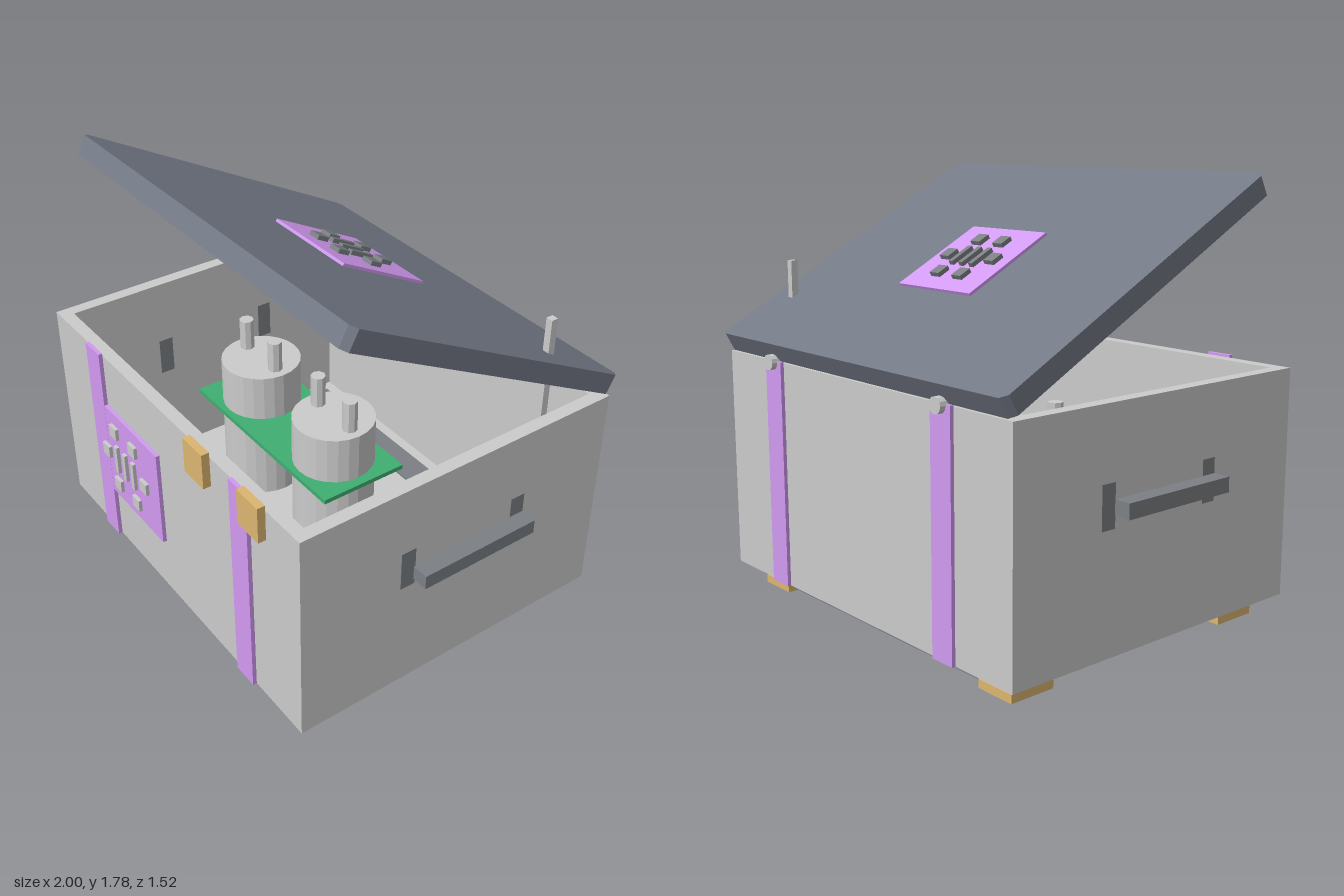
import * as THREE from 'three';

const mat = (color) => new THREE.MeshStandardMaterial({ color, flatShading: true });

export function createModel() {
  const model = new THREE.Group();
  const grey = mat(0xcccccc), dark = mat(0x7c8084), slate = mat(0x747986);
  const violet = mat(0xd29af2), gold = mat(0xdcb670), green = mat(0x3fae72);

  const add = (parent, name, geometry, material, x = 0, y = 0, z = 0) => {
    const mesh = new THREE.Mesh(geometry, material);
    mesh.name = name;
    mesh.position.set(x, y, z);
    parent.add(mesh);
    return mesh;
  };
  // box given by its limits on each axis
  const box = (parent, name, m, [x0, x1], [y0, y1], [z0, z1]) =>
    add(parent, name, new THREE.BoxGeometry(x1 - x0, y1 - y0, z1 - z0), m,
      (x0 + x1) / 2, (y0 + y1) / 2, (z0 + z1) / 2);

  // open crate body
  const Y = [0.09, 1.025], back = -0.72, front = 0.73, t = 0.055;
  box(model, 'floor', grey, [-0.9, 0.9], [0.09, 0.14], [back, front]);
  box(model, 'frontWall', grey, [-0.9, 0.9], Y, [front - t, front]);
  box(model, 'backWall', grey, [-0.9, 0.9], Y, [back, back + t]);
  for (const s of [-1, 1]) {
    const span = (a, b) => (s > 0 ? [a, b] : [-b, -a]);
    box(model, 'sideWall', grey, span(0.9 - t, 0.9), Y, [back + t, front - t]);
    // side handle and its mounting plates set through the wall
    box(model, 'handle', dark, span(0.932, 1), [0.63, 0.69], [-0.277, 0.253]);
    for (const z of [-0.277, 0.253])
      box(model, 'handleMount', dark, span(0.9 - t - 0.003, 0.902), [0.57, 0.74], [z - 0.033, z + 0.033]);
    // straps on the front and back, with a hinge pin over each back strap
    const sx = span(0.485, 0.597);
    box(model, 'frontStrap', violet, sx, [0.09, 1.035], [front, 0.747]);
    box(model, 'backStrap', violet, sx, [0.09, 1.03], [-0.735, back]);
    add(model, 'hingePin', new THREE.CylinderGeometry(0.032, 0.032, 0.1, 12).rotateX(Math.PI / 2),
      grey, s * 0.541, 1.025, -0.708);
    // skid rail with a foot at each end
    const rz = s > 0 ? 0.555 : -0.545;
    box(model, 'skid', dark, [-0.79, 0.79], [0.008, 0.15], [rz - 0.065, rz + 0.065]);
    for (const x of [-0.72, 0.72])
      box(model, 'foot', gold, [x - 0.088, x + 0.088], [0, 0.034], [rz - 0.099, rz + 0.099]);
  }
  for (const x of [0.268, 0.63])
    box(model, 'latch', gold, [x - 0.066, x + 0.066], [0.893, 1.047], [front, 0.763]);

  // plate with raised blocks, facing +z and centred on its own origin
  const plate = (w, h, depth, k, studMat, studDepth) => {
    const g = new THREE.Group();
    g.name = 'studdedPlate';
    box(g, 'plate', violet, [-w / 2, w / 2], [-h / 2, h / 2], [0, depth]);
    const stud = (x, y, sw, sh) =>
      box(g, 'stud', studMat, [x - sw / 2, x + sw / 2], [y - sh / 2, y + sh / 2], [depth, depth + studDepth]);
    for (const s of [-1, 1]) {
      stud(s * 0.135 * k, 0, 0.055, 0.055);
      for (const v of [-1, 1]) stud(s * 0.067 * k, v * 0.118 * k, 0.055, 0.055);
    }
    for (const x of [-0.06, 0, 0.06]) stud(x * k, 0, 0.024, 0.115 * k);
    return g;
  };
  const frontPlate = plate(0.534, 0.44, 0.0165, 1.15, grey, 0.015);
  frontPlate.position.set(-0.327, 0.565, front);
  model.add(frontPlate);

  // open lid with clipped corners, hinged at the back
  const lid = new THREE.Group();
  lid.name = 'lid';
  lid.position.set(0, 1.03, -0.72);
  lid.rotation.x = -THREE.MathUtils.degToRad(28);
  model.add(lid);
  const L = 1.45, W = 0.9, c = 0.025;
  const outline = new THREE.Shape([
    [-W + c, 0], [W - c, 0], [W, c], [W, L - c], [W - c, L], [-W + c, L], [-W, L - c], [-W, c],
  ].map(([x, y]) => new THREE.Vector2(x, -y)).reverse());
  const panel = new THREE.ExtrudeGeometry(outline, { depth: 0.083, bevelEnabled: false });
  add(lid, 'lidPanel', panel.rotateX(-Math.PI / 2), slate);
  const lidPlate = plate(0.44, 0.44, 0.012, 1, dark, 0.018);
  lidPlate.rotation.x = -Math.PI / 2;
  lidPlate.position.set(0, 0.083, 0.703);
  lid.add(lidPlate);

  // rod rising through the lid
  box(model, 'rod', grey, [0.765, 0.795], [0.55, 1.4], [-0.497, -0.467]);

  // canisters with twin terminals, standing through a board
  box(model, 'board', green, [-0.66, 0.31], [0.53, 0.55], [-0.2, 0.2]);
  for (const x of [-0.445, 0.095]) {
    add(model, 'canister', new THREE.CylinderGeometry(0.175, 0.175, 0.62, 24), grey, x, 0.45, 0);
    for (const s of [-1, 1])
      add(model, 'terminal', new THREE.CylinderGeometry(0.032, 0.032, 0.14, 8), grey, x + s * 0.11, 0.83, 0);
  }
  return model;
}
